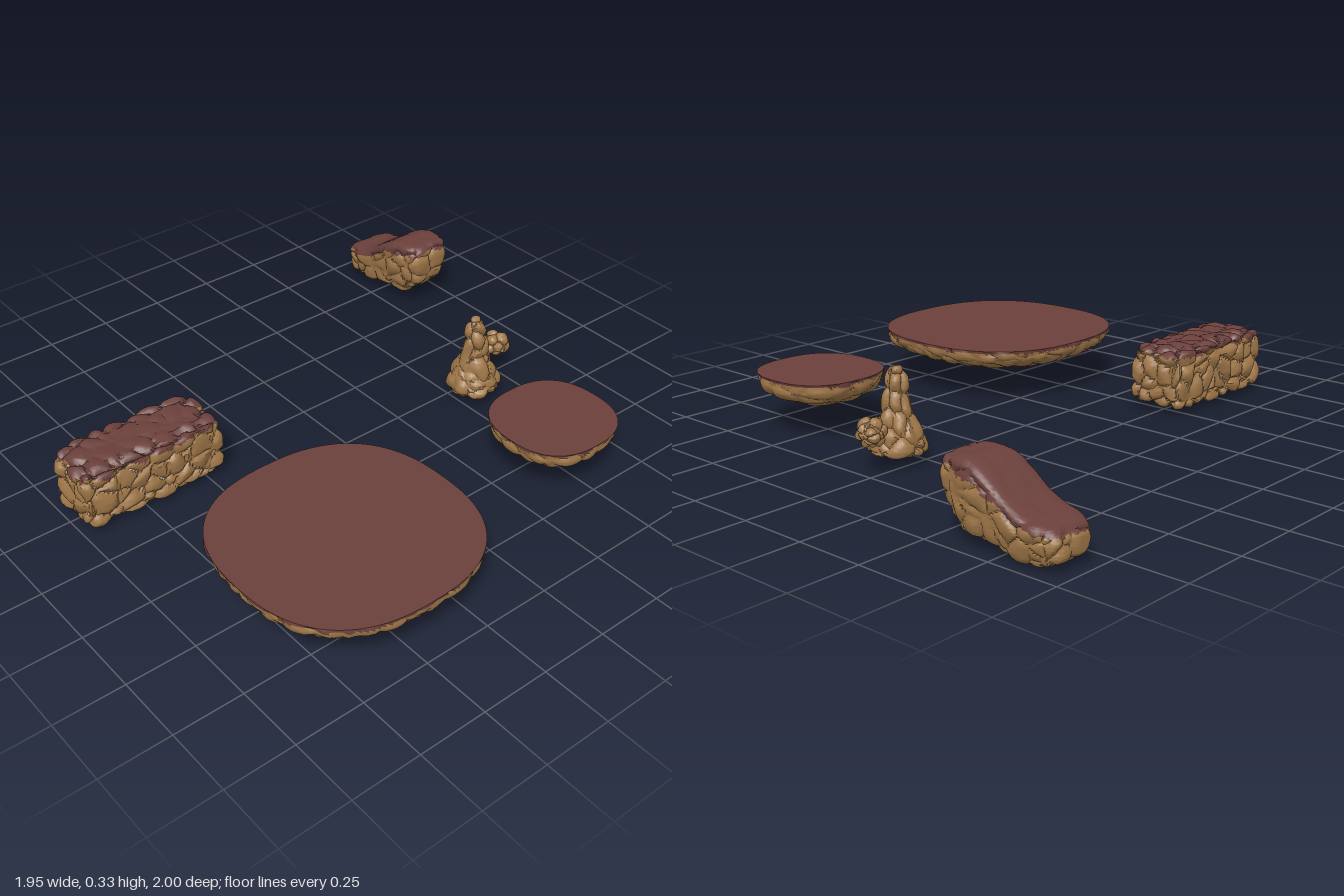
import * as THREE from 'three';
import { mergeVertices, toCreasedNormals } from 'three/addons/utils/BufferGeometryUtils.js';

const ROCK = new THREE.MeshStandardMaterial({ color: 0x9e7648 });
const CAP = new THREE.MeshStandardMaterial({ color: 0x6b403b });
const { lerp, smoothstep } = THREE.MathUtils;

// repeatable pseudo-random value for a grid cell
function hash(x, y, z, k) {
  const s = Math.sin(x * 127.1 + y * 311.7 + z * 74.7 + k * 53.3) * 43758.5453;
  return s - Math.floor(s);
}

// cobbled relief: 1 at the heart of each stone, falling to 0 in the cracks
function cobble(p, cell) {
  const q = p.clone().divideScalar(cell);
  const base = q.clone().floor();
  let f1 = 9, f2 = 9;
  for (let i = -1; i <= 1; i++) for (let j = -1; j <= 1; j++) for (let k = -1; k <= 1; k++) {
    const x = base.x + i, y = base.y + j, z = base.z + k;
    const d = Math.hypot(x + hash(x, y, z, 0) - q.x, y + hash(x, y, z, 1) - q.y, z + hash(x, y, z, 2) - q.z);
    if (d < f1) { f2 = f1; f1 = d; } else if (d < f2) f2 = d;
  }
  return Math.sqrt(Math.min(1, (f2 - f1) * 2));
}

// weld, push the surface in along the cracks, and split off the dark cap
function rock(name, source, { cell, depth, rough = () => 1, isCap = () => false }) {
  source.deleteAttribute('uv');
  source.deleteAttribute('normal');
  let geo = mergeVertices(source, 1e-4);
  geo.computeVertexNormals();
  const pos = geo.attributes.position, nor = geo.attributes.normal;
  const p = new THREE.Vector3(), n = new THREE.Vector3();
  for (let i = 0; i < pos.count; i++) {
    p.fromBufferAttribute(pos, i);
    n.fromBufferAttribute(nor, i);
    const push = -depth * rough(p) * (1 - cobble(p, cell));
    p.addScaledVector(n, push);
    pos.setXYZ(i, p.x, p.y, p.z);
  }
  geo = toCreasedNormals(geo, 0.7);
  const a = geo.attributes.position.array, b = geo.attributes.normal.array;
  const parts = [{ p: [], n: [] }, { p: [], n: [] }];
  for (let i = 0; i < a.length; i += 9) {
    p.set((a[i] + a[i + 3] + a[i + 6]) / 3, (a[i + 1] + a[i + 4] + a[i + 7]) / 3, (a[i + 2] + a[i + 5] + a[i + 8]) / 3);
    const part = parts[isCap(p) ? 1 : 0];
    for (let j = i; j < i + 9; j++) { part.p.push(a[j]); part.n.push(b[j]); }
  }
  const group = new THREE.Group();
  group.name = name;
  parts.forEach((part, i) => {
    if (!part.p.length) return;
    const g = new THREE.BufferGeometry();
    g.setAttribute('position', new THREE.Float32BufferAttribute(part.p, 3));
    g.setAttribute('normal', new THREE.Float32BufferAttribute(part.n, 3));
    const mesh = new THREE.Mesh(g, i ? CAP : ROCK);
    mesh.name = name + (i ? 'Top' : 'Stone');
    group.add(mesh);
  });
  return group;
}

// move every vertex of a geometry by a rule
function reshape(geo, rule) {
  const pos = geo.attributes.position, p = new THREE.Vector3();
  for (let i = 0; i < pos.count; i++) {
    rule(p.fromBufferAttribute(pos, i));
    pos.setXYZ(i, p.x, p.y, p.z);
  }
  return geo;
}

// box of half-size 1 with rounded corners; a higher power is squarer
function roundedBlock(sx, sy, sz, power) {
  return reshape(new THREE.BoxGeometry(2, 2, 2, sx, sy, sz), (p) => {
    const len = (Math.abs(p.x) ** power + Math.abs(p.y) ** power + Math.abs(p.z) ** power) ** (1 / power);
    p.divideScalar(len);
  });
}

// piecewise-linear lookup with eased steps
function curve(points) {
  return (x) => {
    for (let i = 1; i < points.length; i++) {
      const [x0, y0] = points[i - 1], [x1, y1] = points[i];
      if (x <= x1) return lerp(y0, y1, smoothstep(x, x0, x1));
    }
    return points[points.length - 1][1];
  };
}

// flat-topped bowl-shaped platform with a slightly squared outline
function platform(name, radius, height, segments) {
  const profile = [];
  for (let i = 0; i <= 28; i++) {
    const t = (i / 28) * Math.PI / 2;
    profile.push(new THREE.Vector2(radius * Math.sin(t) ** 0.85, height * 0.85 * (1 - Math.cos(t) ** 0.9)));
  }
  profile.push(new THREE.Vector2(radius, height * 0.93), new THREE.Vector2(radius * 0.992, height));
  for (const k of [0.9, 0.5, 0]) profile.push(new THREE.Vector2(radius * k, height));
  const geo = reshape(new THREE.LatheGeometry(profile, segments), (p) => {
    const r = Math.hypot(p.x, p.z);
    if (r < 1e-6) return;
    const k = 1 / ((Math.abs(p.x) / r) ** 2.45 + (Math.abs(p.z) / r) ** 2.45) ** (1 / 2.45);
    p.x *= k;
    p.z *= k;
  });
  return rock(name, geo, {
    cell: 0.085, depth: 0.013,
    rough: (p) => (p.y > height * 0.98 ? 0 : 1),
    isCap: (p) => p.y > height * (0.87 + 0.07 * hash(Math.round(p.x * 30), 0, Math.round(p.z * 30), 4)),
  });
}

export function createModel() {
  const model = new THREE.Group();
  model.name = 'rockPlatforms';
  const place = (part, x, y, z) => { part.position.set(x, y, z); model.add(part); };

  // round platforms
  place(platform('largePlatform', 0.422, 0.12, 144), 0.55, 0.09, 0.455);
  place(platform('smallPlatform', 0.212, 0.115, 96), 0.55, 0.1, -0.48);

  // long cobbled block
  const block = reshape(roundedBlock(28, 28, 56, 7), (p) => p.set(p.x * 0.127, p.y * 0.118, p.z * 0.287));
  place(rock('longBlock', block, {
    cell: 0.075, depth: 0.026,
    rough: (p) => (p.y > 0.1 && Math.abs(p.x) < 0.07 && Math.abs(p.z) < 0.22 ? 0.4 : 1),
    isCap: (p) => p.y > 0.076 + 0.02 * cobble(p, 0.06),
  }), -0.245, 0.135, 0.713);

  // sloping ramp with a smooth top
  const top = curve([[-1, 0.135], [-0.6, 0.15], [0.55, 0.275], [1, 0.287]]);
  const bottom = curve([[-1, 0.02], [-0.7, 0.0], [0.5, 0.03], [1, 0.08]]);
  const level = (x, y) => (y - bottom(x)) / (top(x) - bottom(x));
  const ramp = reshape(roundedBlock(48, 28, 28, 5), (p) => {
    const v = (p.y + 1) / 2;
    p.set(p.x * 0.224, lerp(bottom(p.x), top(p.x), v), p.z * lerp(0.095, 0.114, smoothstep(v, 0, 0.7)));
  });
  place(rock('ramp', ramp, {
    cell: 0.085, depth: 0.018,
    rough: (p) => 1 - 0.85 * smoothstep(level(p.x / 0.224, p.y), 0.85, 0.97),
    isCap: (p) => level(p.x / 0.224, p.y) > 0.72 + 0.12 * cobble(p, 0.07),
  }), -0.752, 0.003, -0.887);

  // tapering stone spire
  const outline = new THREE.SplineCurve([
    [0, 0], [0.085, 0.002], [0.106, 0.03], [0.092, 0.08], [0.07, 0.13],
    [0.052, 0.18], [0.045, 0.23], [0.038, 0.28], [0.024, 0.303], [0, 0.31],
  ].map(([r, y]) => new THREE.Vector2(r, y))).getPoints(64);
  outline.forEach((v) => { v.x = Math.max(0, v.x); });
  place(rock('spire', new THREE.LatheGeometry(outline, 64), { cell: 0.07, depth: 0.02 }), 0.055, 0.033, -0.577);

  // small boulder beside the spire
  place(rock('boulder', new THREE.IcosahedronGeometry(0.054, 14), { cell: 0.045, depth: 0.016 }), 0.018, 0.15, -0.725);

  return model;
}
